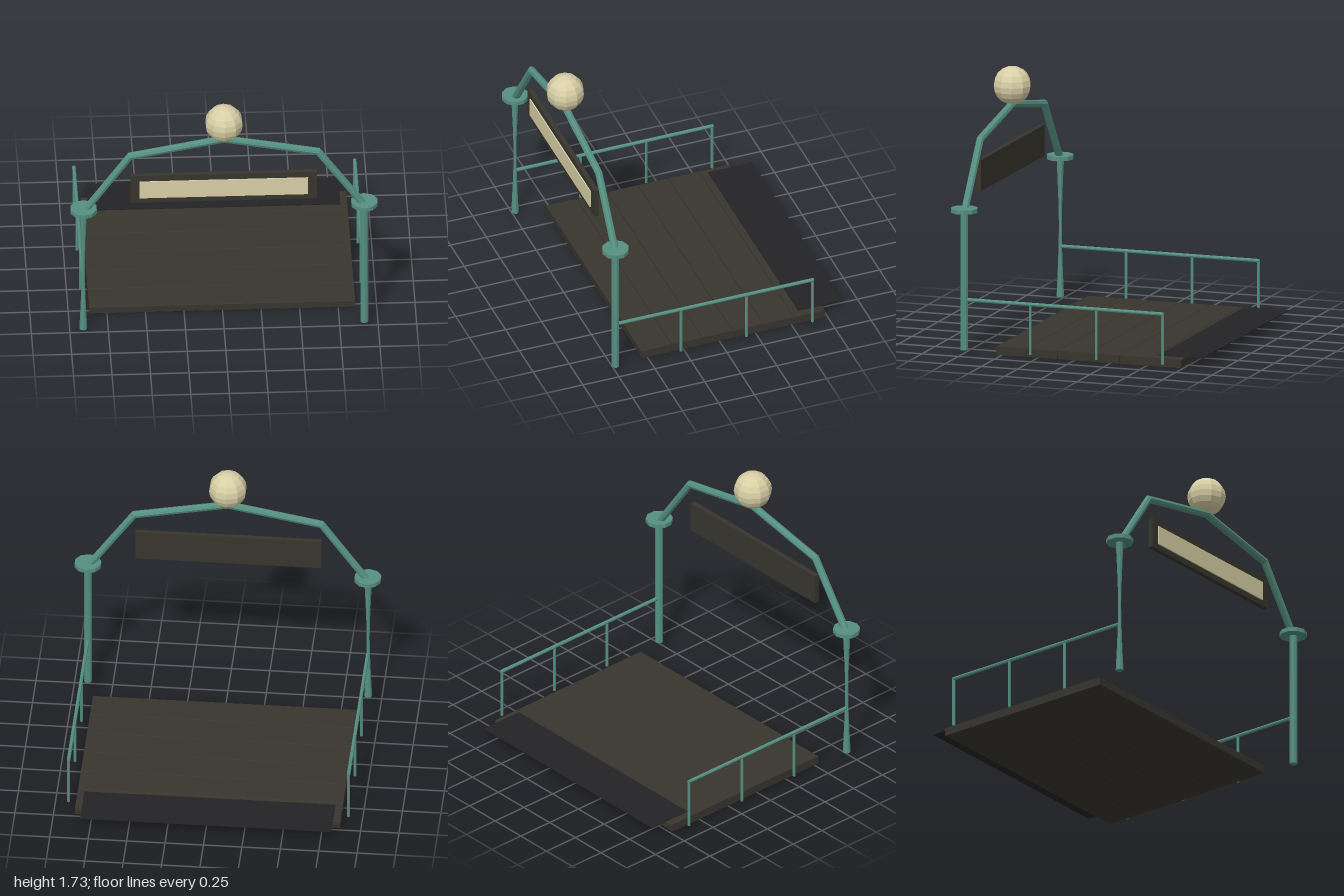
import * as THREE from 'three';

const mat = (name, color, flatShading = false) => {
  const m = new THREE.MeshStandardMaterial({ color, flatShading });
  m.name = name;
  return m;
};

export function createModel() {
  const green = mat('green iron', 0x559080, true);
  const wood = mat('dark wood', 0x37352d, true);
  const cream = mat('cream glass', 0xd8cfa6, true);
  const black = mat('black sheet', 0x232326, true);

  const root = new THREE.Group();
  root.name = 'entranceCanopy';
  const add = (name, geo, material, x = 0, y = 0, z = 0) => {
    const mesh = new THREE.Mesh(geo, material);
    mesh.name = name;
    mesh.position.set(x, y, z);
    root.add(mesh);
    return mesh;
  };
  const box = (name, m, x0, x1, y0, y1, z0, z1) =>
    add(name, new THREE.BoxGeometry(x1 - x0, y1 - y0, z1 - z0), m,
      (x0 + x1) / 2, (y0 + y1) / 2, (z0 + z1) / 2);

  const GATE_Z = 0.74;
  const SIDE_X = 0.911;

  // Platform of six chamfered planks
  const depth = 0.2125, h = 0.055, c = 0.005, g = 0.001;
  const section = new THREE.Shape([
    [g + c, 0], [depth - g - c, 0], [depth - g, c], [depth - g, h - c],
    [depth - g - c, h], [g + c, h], [g, h - c], [g, c],
  ].map(([u, v]) => new THREE.Vector2(u, v)));
  const plankGeo = new THREE.ExtrudeGeometry(section, { depth: 1.726, bevelEnabled: false });
  plankGeo.rotateY(Math.PI / 2); // length along x, section depth towards -z
  for (let i = 0; i < 6; i++) add('plank', plankGeo, wood, -0.866, 0.003, 0.54 - i * depth);

  // Thin sheet over the back edge
  box('backSheet', black, -0.82, 0.815, 0.066, 0.071, -0.87, -0.565);

  // Gate posts: one straight, one waisted
  const postBottom = 0.03, postTop = 0.95, postLen = postTop - postBottom;
  add('straightPost', new THREE.CylinderGeometry(0.026, 0.026, postLen, 8), green,
    SIDE_X, (postBottom + postTop) / 2, GATE_Z);
  const profile = [new THREE.Vector2(0, 0)];
  for (let i = 0; i <= 8; i++) {
    const t = i / 4 - 1;
    profile.push(new THREE.Vector2(Math.hypot(0.01, 0.024 * t), (i / 8) * postLen));
  }
  profile.push(new THREE.Vector2(0, postLen));
  add('waistedPost', new THREE.LatheGeometry(profile, 8), green, -SIDE_X - 0.002, postBottom, GATE_Z);

  // Side railings and post caps
  for (const s of [-1, 1]) {
    const x = s * SIDE_X;
    add('postCap', new THREE.CylinderGeometry(0.089, 0.089, 0.028, 10), green, x, 0.956, GATE_Z);
    const rail = add('topRail', new THREE.CylinderGeometry(0.012, 0.012, 1.365, 8), green, x, 0.363, 0.0475);
    rail.rotation.x = Math.PI / 2;
    for (const z of [0.285, -0.17, -0.628]) {
      add('railPost', new THREE.CylinderGeometry(0.01, 0.01, 0.335, 8), green, x, 0.1975, z);
    }
  }

  // Arch: a cylinder whose rings are moved onto a mitred path
  const path = [[-0.9, 0.955], [-0.61, 1.365], [0, 1.481], [0.61, 1.365], [0.9, 0.955]]
    .map(([x, y]) => new THREE.Vector2(x, y));
  const arch = new THREE.CylinderGeometry(0.025, 0.025, path.length - 1, 8, path.length - 1);
  const pos = arch.attributes.position;
  for (let i = 0; i < pos.count; i++) {
    const k = Math.round(pos.getY(i) + (path.length - 1) / 2);
    const dirA = path[Math.max(k, 1)].clone().sub(path[Math.max(k, 1) - 1]).normalize();
    const n = Math.min(k + 1, path.length - 1);
    const dirB = path[n].clone().sub(path[n - 1]).normalize();
    const t = dirA.clone().add(dirB).normalize();
    const a = pos.getX(i) / t.dot(dirA);
    pos.setXYZ(i, path[k].x + t.y * a, path[k].y - t.x * a, pos.getZ(i));
  }
  arch.computeVertexNormals();
  add('arch', arch, green, 0, 0, GATE_Z);

  // Globe lamp
  const globe = add('globeLamp', new THREE.SphereGeometry(0.125, 10, 10), cream, 0, 1.606, GATE_Z);
  globe.rotation.y = Math.PI / 2;

  // Hanging sign with blank panel
  box('signBoard', wood, -0.608, 0.602, 1.02, 1.226, 0.738, 0.77);
  box('signPanel', cream, -0.55, 0.543, 1.058, 1.185, 0.769, 0.778);

  return root;
}
